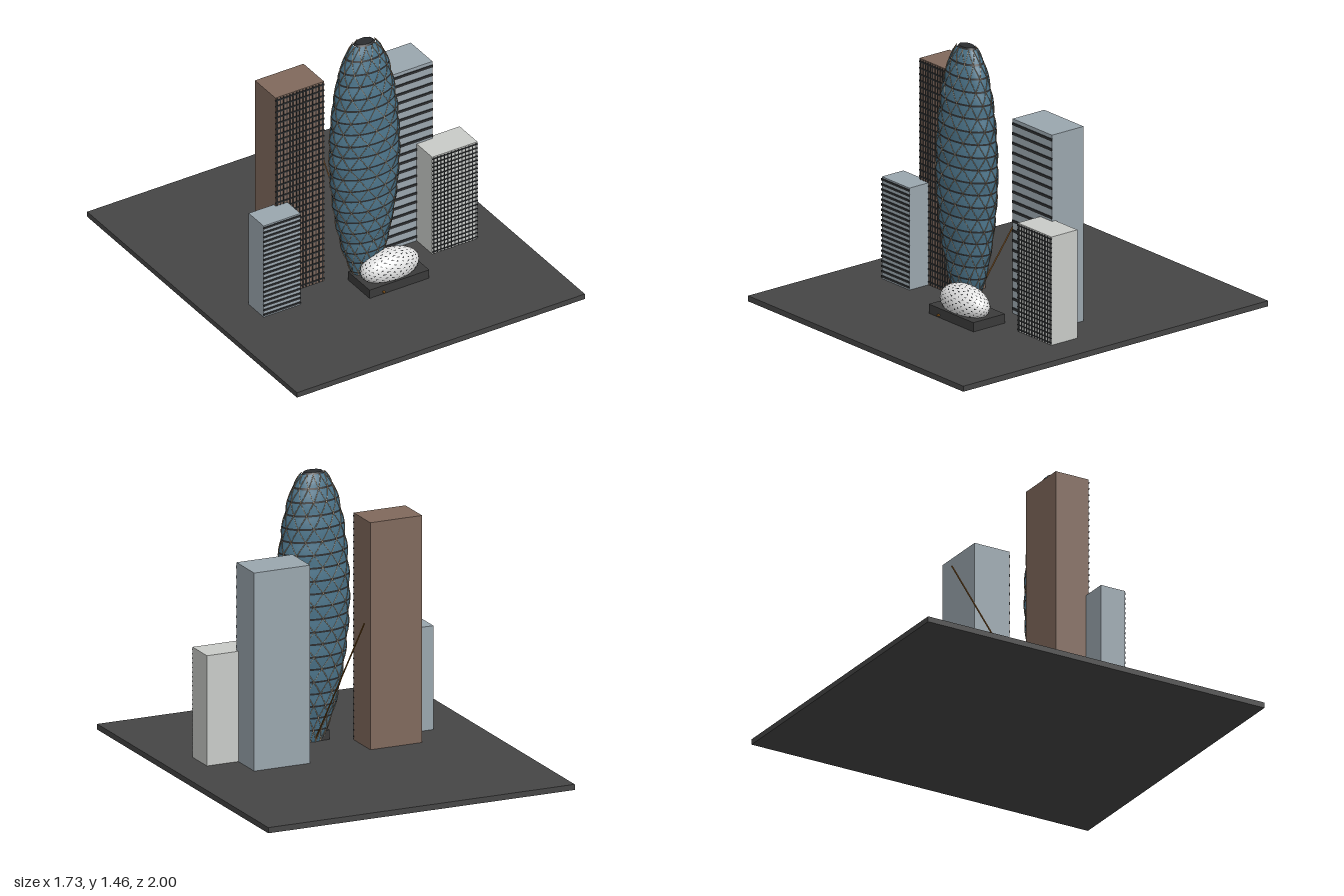
import * as THREE from 'three';
import { mergeGeometries } from 'three/addons/utils/BufferGeometryUtils.js';

const mat = (name, color, side = THREE.FrontSide) => {
  const m = new THREE.MeshStandardMaterial({ color, side });
  m.name = name;
  return m;
};

export function createModel() {
  const model = new THREE.Group();
  model.name = 'skyline';
  const ground = mat('ground grey', 0x454545);
  const dark = mat('window dark', 0x2c2e30, THREE.DoubleSide);
  const plinthGrey = mat('plinth grey', 0x3a3a3a);
  const brown = mat('brown stone', 0x80695c);
  const blueGrey = mat('blue grey', 0x9aa6ae);
  const pale = mat('pale concrete', 0xc9cbc8);
  const glass = mat('blue glass', 0x4c748a);
  const tan = mat('lattice tan', 0xa8937a);
  const orange = mat('mast orange', 0x9c6420);
  const white = mat('shell white', 0xe4e4e4);

  const add = (name, geo, material, parent = model) => {
    const m = new THREE.Mesh(geo, material);
    m.name = name;
    parent.add(m);
    return m;
  };
  const boxGeo = (x0, x1, y0, y1, z0, z1) =>
    new THREE.BoxGeometry(x1 - x0, y1 - y0, z1 - z0)
      .translate((x0 + x1) / 2, (y0 + y1) / 2, (z0 + z1) / 2);

  add('groundSlab', boxGeo(-0.865, 0.865, 0, 0.03, -1, 1), ground);

  // Block tower with dark strips across its front face
  function block(name, material, x0, x1, top, z0, z1, rows, rowH, cols = 0, colW = 0) {
    const g = new THREE.Group();
    g.name = name;
    model.add(g);
    add(name + 'Walls', boxGeo(x0, x1, 0.03, top, z0, z1), material, g);
    const strips = [];
    for (let i = 0; i < rows; i++) {
      const y = 0.03 + (top - 0.03) * (i + 0.5) / rows;
      strips.push(boxGeo(x0 - 0.001, x1 + 0.001, y - rowH / 2, y + rowH / 2, z1 - 0.002, z1 + 0.004));
    }
    for (let i = 0; i < cols; i++) {
      const x = x0 + (x1 - x0) * (i + 0.5) / cols;
      strips.push(boxGeo(x - colW / 2, x + colW / 2, 0.032, top - 0.005, z1 - 0.002, z1 + 0.003));
    }
    add(name + 'Windows', mergeGeometries(strips), dark, g);
  }
  block('brownTower', brown, -0.482, -0.19, 1.237, -0.008, 0.187, 35, 0.008, 15, 0.006);
  block('lowLeftBlock', blueGrey, -0.632, -0.41, 0.582, 0.17, 0.312, 20, 0.011);
  block('tallRightBlock', blueGrey, 0.187, 0.503, 1.083, -0.085, 0.122, 20, 0.014);
  block('lowRightBlock', pale, 0.408, 0.68, 0.616, 0.1, 0.27, 24, 0.006, 13, 0.005);

  // Oval glass tower: height and half width pairs
  const outline = new THREE.CatmullRomCurve3([
    [0.05, 0.03], [0.075, 0.1], [0.112, 0.2], [0.157, 0.4], [0.183, 0.6], [0.193, 0.8],
    [0.184, 1.0], [0.159, 1.2], [0.136, 1.3], [0.1, 1.4], [0.06, 1.455],
  ].map(([r, y]) => new THREE.Vector3(r, y, 0)));
  const samples = outline.getPoints(300);
  const radius = y => {
    const i = samples.findIndex(p => p.y >= y);
    return i < 0 ? samples[300].x : samples[i].x;
  };
  const floors = 21, y0 = 0.03, y1 = 1.455, step = (y1 - y0) / floors;
  const bulge = y => 0.006 * Math.abs(Math.sin(Math.PI * (y - y0) / (2 * step)));
  const tower = new THREE.Group();
  tower.name = 'ovalTower';
  tower.position.z = 0.27;
  tower.scale.z = 0.63;
  model.add(tower);
  const profile = [];
  for (let i = 0; i <= floors * 4; i++) {
    const y = y0 + step * i / 4;
    profile.push(new THREE.Vector2(radius(y) + bulge(y), y));
  }
  add('towerGlass', new THREE.LatheGeometry(profile, 48), glass, tower);
  add('towerRoof', new THREE.CylinderGeometry(0.05, 0.06, 0.01, 32).translate(0, 1.457, 0), dark, tower);

  // Dark floor edges
  const rings = [];
  for (let i = 1; i < floors; i++) {
    const y = y0 + step * i, h = 0.01;
    const r = s => radius(y + s) + bulge(y + s) + 0.002;
    rings.push(new THREE.CylinderGeometry(r(h / 2), r(-h / 2), h, 48, 1, true).translate(0, y, 0));
  }
  add('floorEdges', mergeGeometries(rings), dark, tower);

  // Crossing diagonal bars wound around the glass
  const bars = [];
  const count = 12;
  for (const dir of [-1, 1]) {
    for (let k = 0; k < count; k++) {
      const pts = [];
      for (let i = 0; i <= floors * 2; i++) {
        const y = y0 + step * i / 2, a = (k + dir * i / 4) * Math.PI * 2 / count;
        const r = radius(y) + bulge(y) + 0.002;
        pts.push(new THREE.Vector3(r * Math.sin(a), y, r * Math.cos(a)));
      }
      bars.push(new THREE.TubeGeometry(new THREE.CatmullRomCurve3(pts), 84, 0.0022, 4));
    }
  }
  add('diagonalLattice', mergeGeometries(bars), tan, tower);

  // Slanted mast behind the tower
  const mast = new THREE.LineCurve3(new THREE.Vector3(0, 0.03, 0.25), new THREE.Vector3(0, 0.82, -0.335));
  add('slantedMast', new THREE.TubeGeometry(mast, 1, 0.004, 6), orange);
  add('mastFoot', boxGeo(-0.005, 0.005, 0.04, 0.048, 0.448, 0.466), orange);

  // Speckled shell on its plinth
  add('shellPlinth', boxGeo(-0.083, 0.275, 0.03, 0.08, 0.245, 0.452), plinthGrey);
  const shell = new THREE.Group();
  shell.name = 'shellPavilion';
  shell.position.set(0.095, 0.122, 0.36);
  shell.scale.set(0.168, 0.09, 0.09);
  model.add(shell);
  add('shellDome', new THREE.SphereGeometry(1, 40, 24), white, shell);
  let seed = 7;
  const rand = () => (seed = (seed * 16807) % 2147483647) / 2147483647;
  const flecks = [];
  const up = new THREE.Vector3(0, 0, 1);
  for (let i = 0; i < 230; i++) {
    const y = 1 - 1.5 * (i + 0.5) / 230, a = i * 2.39996, r = Math.sqrt(1 - y * y);
    const n = new THREE.Vector3(r * Math.cos(a), y, r * Math.sin(a));
    const g = new THREE.CircleGeometry(0.062 + 0.03 * rand(), 3);
    g.scale(1, 0.55, 1).rotateZ(rand() * 6.28);
    g.applyQuaternion(new THREE.Quaternion().setFromUnitVectors(up, n));
    flecks.push(g.translate(n.x * 0.012, n.y * 0.012, n.z * 0.012));
    g.translate(n.x, n.y, n.z);
  }
  add('shellFlecks', mergeGeometries(flecks), dark, shell);

  return model;
}
